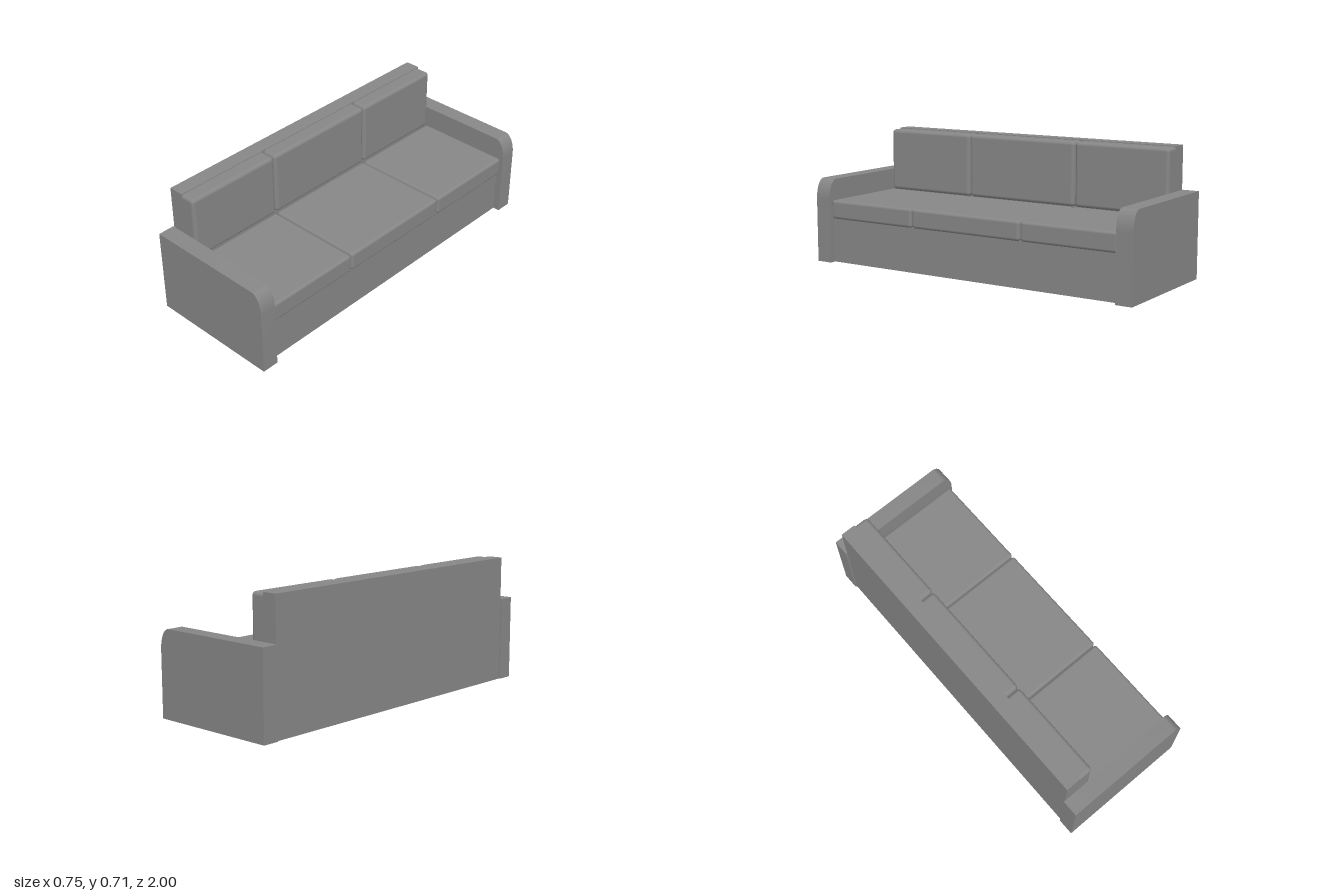
import * as THREE from 'three';
import { toCreasedNormals } from 'three/addons/utils/BufferGeometryUtils.js';
import { RoundedBoxGeometry } from 'three/addons/geometries/RoundedBoxGeometry.js';

const material = new THREE.MeshStandardMaterial({ color: 0x868686 });
const INNER = 0.907; // half width between the arms

// Box given by its limits on each axis; a radius rounds its edges
function addBlock(parent, name, [x0, x1], [y0, y1], [z0, z1], radius = 0) {
  const size = [x1 - x0, y1 - y0, z1 - z0];
  const geometry = radius
    ? new RoundedBoxGeometry(...size, 4, radius)
    : new THREE.BoxGeometry(...size);
  const mesh = new THREE.Mesh(geometry, material);
  mesh.name = name;
  mesh.position.set((x0 + x1) / 2, (y0 + y1) / 2, (z0 + z1) / 2);
  parent.add(mesh);
}

// Side profile of an arm, with an elliptical curve at the top front
function armGeometry() {
  const shape = new THREE.Shape();
  shape.moveTo(-0.373, 0);
  shape.lineTo(0.373, 0);
  shape.lineTo(0.373, 0.36);
  shape.absellipse(0.313, 0.36, 0.06, 0.113, 0, Math.PI / 2, false, 0);
  shape.lineTo(-0.373, 0.473);
  shape.closePath();
  const geometry = new THREE.ExtrudeGeometry(shape, {
    depth: 1 - INNER, bevelEnabled: false, curveSegments: 16,
  });
  return toCreasedNormals(geometry, 0.6);
}

export function createModel() {
  const sofa = new THREE.Group();
  sofa.name = 'sofa';

  // Base and back panel, with a narrow open slot between them
  addBlock(sofa, 'base', [-0.24, 0.335], [0, 0.25], [-INNER, INNER]);
  addBlock(sofa, 'backPanel', [-0.365, -0.28], [0, 0.714], [-INNER, INNER]);

  // Arms at both ends
  const arm = armGeometry();
  for (const [name, z] of [['leftArm', INNER], ['rightArm', -1]]) {
    const mesh = new THREE.Mesh(arm, material);
    mesh.name = name;
    mesh.position.z = z;
    sofa.add(mesh);
  }

  // Three seat cushions and three back cushions, whose rear edges sink into the panel
  const spans = [[-INNER, -0.348], [-0.342, 0.342], [0.348, INNER]];
  spans.forEach((span, i) => {
    addBlock(sofa, `seatCushion${i + 1}`, [-0.2, 0.357], [0.25, 0.356], span, 0.016);
    addBlock(sofa, `backCushion${i + 1}`, [-0.305, -0.197], [0.353, 0.71], span, 0.02);
  });

  return sofa;
}
